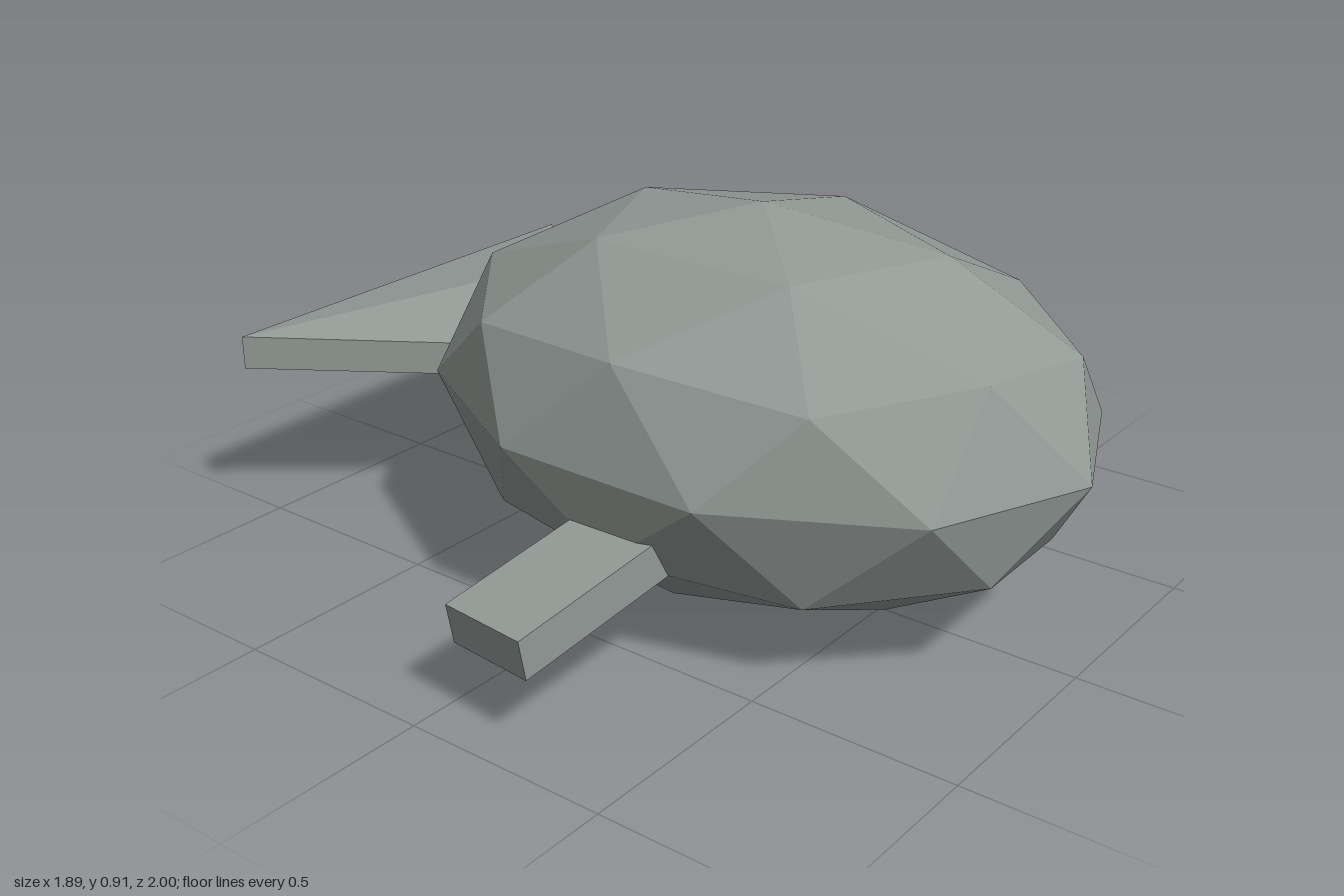
import * as THREE from 'three';

export function createModel() {
  const model = new THREE.Group();
  const grey = new THREE.MeshStandardMaterial({ color: 0x929a96, flatShading: true });
  grey.name = 'stone grey';

  const add = (name, geometry) => {
    const mesh = new THREE.Mesh(geometry, grey);
    mesh.name = name;
    model.add(mesh);
    return mesh;
  };

  // Faceted egg body: icosphere turned so that a corner points straight up
  const golden = (1 + Math.sqrt(5)) / 2;
  const ball = new THREE.IcosahedronGeometry(1, 1);
  ball.rotateZ(-Math.atan(1 / golden));
  ball.scale(0.63, 0.457, 0.845);
  ball.translate(0, 0.457, 0.155);
  ball.computeVertexNormals();
  add('body', ball);

  // Side flippers: boxes drooping outwards and swept slightly back
  for (const [name, side] of [['leftFlipper', 1], ['rightFlipper', -1]]) {
    const flipper = add(name, new THREE.BoxGeometry(0.55, 0.098, 0.22));
    flipper.position.set(side * 0.656, 0.264, 0.17);
    flipper.rotation.set(0, side * 0.091, side * -0.175, 'YXZ');
  }

  // Tail fin: three-sided slab with raised cap centres, tilted up to the rear
  const tail = new THREE.CylinderGeometry(1, 1, 0.083, 3);
  tail.scale(0.652, 1, 0.42);
  const p = tail.attributes.position;
  for (let i = 0; i < p.count; i++) {
    const centre = Math.hypot(p.getX(i), p.getZ(i)) < 0.01;
    const z = p.getZ(i) + (centre ? 0.03 : 0);
    const bump = !centre ? 0 : p.getY(i) > 0 ? 0.052 : -0.01;
    p.setXYZ(i, p.getX(i), p.getY(i) + bump - 0.083 * z, z);
  }
  tail.translate(0, 0.432, -0.79);
  tail.computeVertexNormals();
  add('tailFin', tail);

  return model;
}
